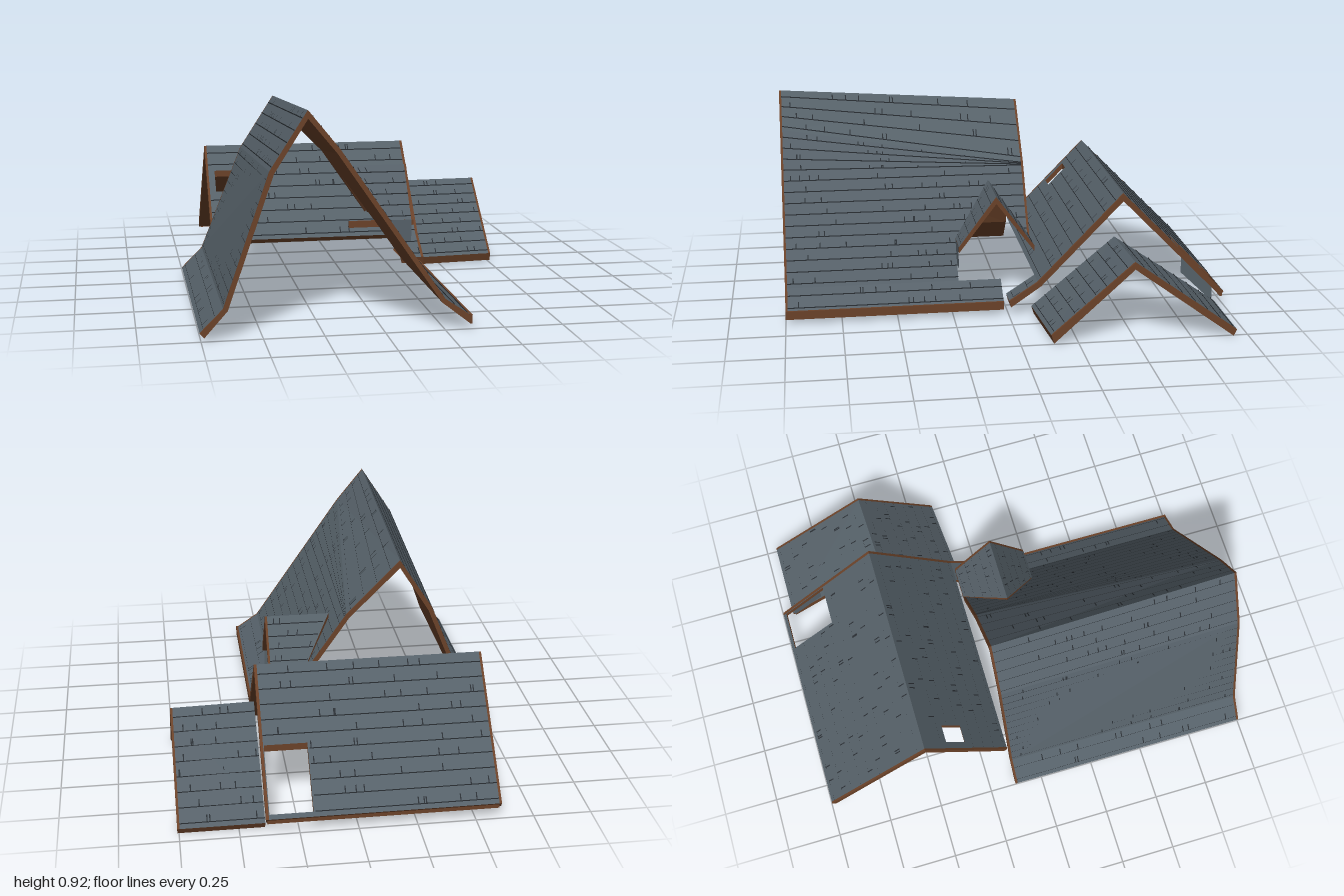
import * as THREE from 'three';

const mat = (name, color) => {
  const m = new THREE.MeshStandardMaterial({ color, side: THREE.DoubleSide });
  m.name = name;
  return m;
};

export function createModel() {
  const model = new THREE.Group();
  const slate = mat('slate', 0x566169);
  const wood = mat('brown wood', 0x6b4229);
  const dark = mat('dark shingle edge', 0x2a2f34);

  let seed = 0;
  const rand = () => {
    const s = Math.sin(++seed * 127.1) * 43758.5453;
    return s - Math.floor(s);
  };
  const V = (p) => new THREE.Vector3(p[0], p[1], p[2]);

  function addMesh(name, positions, material, groups = []) {
    const g = new THREE.BufferGeometry();
    g.setAttribute('position', new THREE.Float32BufferAttribute(positions, 3));
    g.computeVertexNormals();
    groups.forEach((r) => g.addGroup(...r));
    const mesh = new THREE.Mesh(g, material);
    mesh.name = name;
    model.add(mesh);
  }

  // Straight board between two opposite corners
  function board(name, a, b) {
    const mesh = new THREE.Mesh(new THREE.BoxGeometry(b[0] - a[0], b[1] - a[1], b[2] - a[2]), wood);
    mesh.position.addVectors(V(a), V(b)).multiplyScalar(0.5);
    mesh.name = name;
    model.add(mesh);
  }

  // Roof panel: each point is [x, y, z, dx, dy, dz], the offset giving its underside
  function slab(name, outline, holes = [], topMat = slate) {
    const rings = [outline, ...holes];
    const flat = rings.map((r) => r.map((p) => new THREE.Vector2(p[0], p[2])));
    const tris = THREE.ShapeUtils.triangulateShape(flat[0], flat.slice(1));
    const top = rings.flat().map(V);
    const low = rings.flat().map((p) => V(p).add(V(p.slice(3))));
    const upper = [], under = [];
    const n = new THREE.Vector3(), e = new THREE.Vector3();
    for (let [a, b, c] of tris) {
      n.subVectors(top[b], top[a]).cross(e.subVectors(top[c], top[a]));
      if (n.y < 0) [b, c] = [c, b];
      upper.push(top[a], top[b], top[c]);
      under.push(low[a], low[c], low[b]);
    }
    // Edges all around the outline and the openings
    let start = 0;
    for (const r of rings) {
      const turn = THREE.ShapeUtils.area(r.map((p) => new THREE.Vector2(p[0], p[2])));
      const flip = (turn > 0) !== (start > 0);
      for (let i = 0; i < r.length; i++) {
        let a = start + i, b = start + ((i + 1) % r.length);
        if (flip) [a, b] = [b, a];
        under.push(top[a], top[b], low[b], top[a], low[b], low[a]);
      }
      start += r.length;
    }
    addMesh(name, [...upper, ...under].flatMap((v) => v.toArray()), [topMat, wood],
      [[0, upper.length, 0], [upper.length, under.length, 1]]);
  }

  // Upright shingle butts in rows, with short joints between shingles
  function shingles(name, tl, tr, br, bl, rows, skip = () => false) {
    const [A, B, C, D] = [tl, tr, br, bl].map(V);
    const at = (u, v) => A.clone().lerp(B, u).lerp(D.clone().lerp(C, u), v);
    const normal = B.clone().sub(A).cross(D.clone().sub(A)).normalize();
    if (normal.y < 0) normal.negate();
    const width = A.distanceTo(B), pos = [];
    const quad = (a, b, c, d) => [a, b, c, a, c, d].forEach((p) => pos.push(...p.toArray()));
    const rise = new THREE.Vector3(0, 0.005, 0);
    const lift = normal.clone().multiplyScalar(0.002);
    const segs = 40;
    for (let r = 1; r <= rows; r++) {
      const v = (r - 0.3) / rows;
      for (let s = 0; s < segs; s++) {
        const p = at(s / segs, v), q = at((s + 1) / segs, v);
        const m = p.clone().lerp(q, 0.5);
        if (!skip(m.x, m.z)) quad(p, q, q.clone().add(rise), p.clone().add(rise));
      }
      for (let k = 0; k < width * 6; k++) {
        const u = 0.02 + rand() * 0.95, w = 0.005 / width;
        const p = at(u, v - 0.5 / rows);
        if (skip(p.x, p.z)) continue;
        quad(...[p, at(u + w, v - 0.5 / rows), at(u + w, v), at(u, v)].map((c) => c.add(lift)));
      }
    }
    addMesh(name, pos, dark);
  }

  // ---- Tall main roof, ridge along z ----
  const off = [[0.018, -0.02], [0.018, -0.008], [0.018, -0.01], [0, -0.034],
    [-0.014, -0.014], [-0.014, -0.014], [-0.008, -0.03]];
  const front = [[-0.755, 0.035], [-0.66, 0.13], [-0.47, 0.68], [-0.315, 0.92],
    [-0.185, 0.76], [0.25, 0.13], [0.36, 0.055]];
  const back = front.map((p) => [...p]);
  back[2] = [-0.47, 0.605];
  back[3] = [-0.315, 0.845];
  back[4] = [-0.07, 0.593];
  const mp = (i, z) => {
    const t = (1 - z) / 1.13;
    return [0, 1].map((k) => front[i][k] * (1 - t) + back[i][k] * t).concat(z, off[i], 0);
  };
  const zF = 0.99, zB = -0.12;
  // Points on the plane of the long right slope
  const cut = (x, z) => [x, 0.13 + 1.448 * (0.25 - x), z, -0.014, -0.014, 0];
  const overDormer = (x, z) => z < 0.215 && x > -0.01 + Math.abs(z - 0.045) * 0.88;
  const rowCounts = [2, 11, 5, 4, 0, 2];
  for (let i = 0; i < 6; i++) {
    const zEnd = i === 5 ? 0.02 : zB;
    const quad = [mp(i, zF), mp(i + 1, zF), mp(i + 1, zEnd), mp(i, zEnd)];
    if (i === 4) {
      // Opening under the dormer, level rows below and tapering rows above
      quad.splice(2, 1, cut(0.25, 0.215), cut(0.14, 0.215), cut(-0.01, 0.045), cut(0.14, zB));
      shingles('mainRoofShingles', cut(-0.06, zF), cut(-0.06, zB), cut(0.25, zB), cut(0.25, zF),
        10, overDormer);
      shingles('mainRoofShingles', mp(4, zF), mp(4, zB), cut(-0.06, zB), cut(-0.06, zF), 4);
    } else {
      const [hi, lo] = i < 3 ? [i + 1, i] : [i, i + 1];
      shingles('mainRoofShingles', mp(hi, zF), mp(hi, zEnd), mp(lo, zEnd), mp(lo, zF), rowCounts[i]);
    }
    slab('mainRoofPanel', quad);
    // Rake boards at both gable ends
    const ends = i < 4 ? [[1, zF], [zB, -0.13]] : [[1, zF]];
    for (const [a, b] of ends)
      slab('mainRakeBoard', [mp(i, a), mp(i + 1, a), mp(i + 1, b), mp(i, b)], [], wood);
  }
  slab('mainRakeBoard', [mp(4, zB), cut(0.14, zB), cut(0.14, -0.13), mp(4, -0.13)], [], wood);
  board('mainEaveFascia', [0.354, 0.022, 0.02], [0.364, 0.06, 1]);

  // ---- Dormer roof, ridge along x, trimmed where it meets the main slope ----
  for (const [z, y] of [[0.215, 0.30], [-0.13, 0.295]]) {
    const ridge = (x) => [x, 0.53, 0.045, 0, -0.03, 0];
    const eave = (x) => [x, y, z, 0, -0.025, 0];
    slab('dormerRoof', [ridge(-0.01), ridge(0.28), eave(0.28), eave(0.14)]);
    slab('dormerRakeBoard', [ridge(0.28), ridge(0.29), eave(0.29), eave(0.28)], [], wood);
    shingles('dormerShingles', ridge(0.0), ridge(0.28), eave(0.28), eave(0.14), 5);
  }
  addMesh('dormerCheek', [[0.14, 0.3, 0.216], [0.203, 0.2, 0.216], [0.28, 0.2, 0.216],
    [0.14, 0.3, 0.216], [0.28, 0.2, 0.216], [0.28, 0.3, 0.216]].flat(), slate);
  board('dormerBeam', [-0.01, 0.27, 0.2], [0.145, 0.3, 0.21]);

  // ---- Rear wing, ridge along x ----
  const wr = (x) => [x, 0.555, -0.515, 0, -0.035, 0];
  const wf = (x) => [x, 0.155, -0.13, 0, -0.02, -0.015];
  const wx = (x) => [x, 0.07, 0, 0, -0.03, -0.008];
  const wb = (x) => [x, 0.07, -0.995, 0, -0.022, 0.015];
  const opening = (x0, x1, z0, z1, y) =>
    [[x0, z0], [x1, z0], [x1, z1], [x0, z1]].map(([x, z]) => [x, y(z), z, 0, -0.03, 0]);
  const yF = (z) => 0.555 - 1.039 * (z + 0.515);
  const yB = (z) => 0.555 + 1.0104 * (z + 0.515);
  const inside = (a, b, c, d) => (x, z) => x > a && x < b && z > c && z < d;
  const x0 = -0.6, x1 = 0.378;
  slab('wingFrontRoof', [wr(x0), wr(x1), wf(x1), wf(x0)],
    [opening(-0.57, -0.49, -0.41, -0.325, yF)]);
  shingles('wingFrontShingles', wr(x0), wr(x1), wf(x1), wf(x0), 8, inside(-0.59, -0.475, -0.42, -0.31));
  slab('wingRoofExtension', [wf(0.285), wf(x1), wx(x1), wx(0.285)]);
  shingles('wingExtensionShingles', wf(0.285), wf(x1), wx(x1), wx(0.285), 2);
  slab('wingBackRoof', [wr(x0), wr(x1), wb(x1), wb(x0)],
    [opening(0.19, 0.375, -0.98, -0.77, yB)]);
  shingles('wingBackShingles', wr(x0), wr(x1), wb(x1), wb(x0), 10, inside(0.175, 0.39, -0.985, -0.76));
  for (const [a, b] of [[-0.61, x0], [x1, 0.39]]) {
    slab('wingRakeBoard', [wr(a), wr(b), wf(b), wf(a)], [], wood);
    slab('wingRakeBoard', [wr(a), wr(b), wb(b), wb(a)], [], wood);
  }
  slab('wingRakeBoard', [wf(x1), wf(0.39), wx(0.39), wx(x1)], [], wood);
  board('wingBackFascia', [-0.6, 0.046, -0.99], [0.385, 0.066, -0.978]);

  // Upright infill beside the rear opening
  addMesh('openingSidePanel', [[0.384, 0.27, -0.79], [0.384, 0.17, -0.79], [0.384, 0.025, -0.94],
    [0.384, 0.27, -0.79], [0.384, 0.025, -0.94], [0.384, 0.12, -0.94]].flat(), slate);

  // ---- Small side wing, slightly skewed ridge ----
  const skew = (x) => (x - 0.39) / 0.365;
  const sr = (x) => [x, 0.357, -0.475 - 0.015 * skew(x), 0, -0.032, 0];
  const sf = (x) => [x, 0.043, -0.1 - 0.03 * skew(x), 0, -0.037, -0.012];
  const sb = (x) => [x, 0.028, -0.95, 0, -0.028, 0.014];
  for (const [side, eave] of [['Front', sf], ['Back', sb]]) {
    slab('sideWing' + side + 'Roof', [sr(0.39), sr(0.747), eave(0.747), eave(0.39)]);
    slab('sideWingRakeBoard', [sr(0.747), sr(0.757), eave(0.757), eave(0.747)], [], wood);
    shingles('sideWing' + side + 'Shingles', sr(0.39), sr(0.747), eave(0.747), eave(0.39), 8);
  }

  return model;
}
